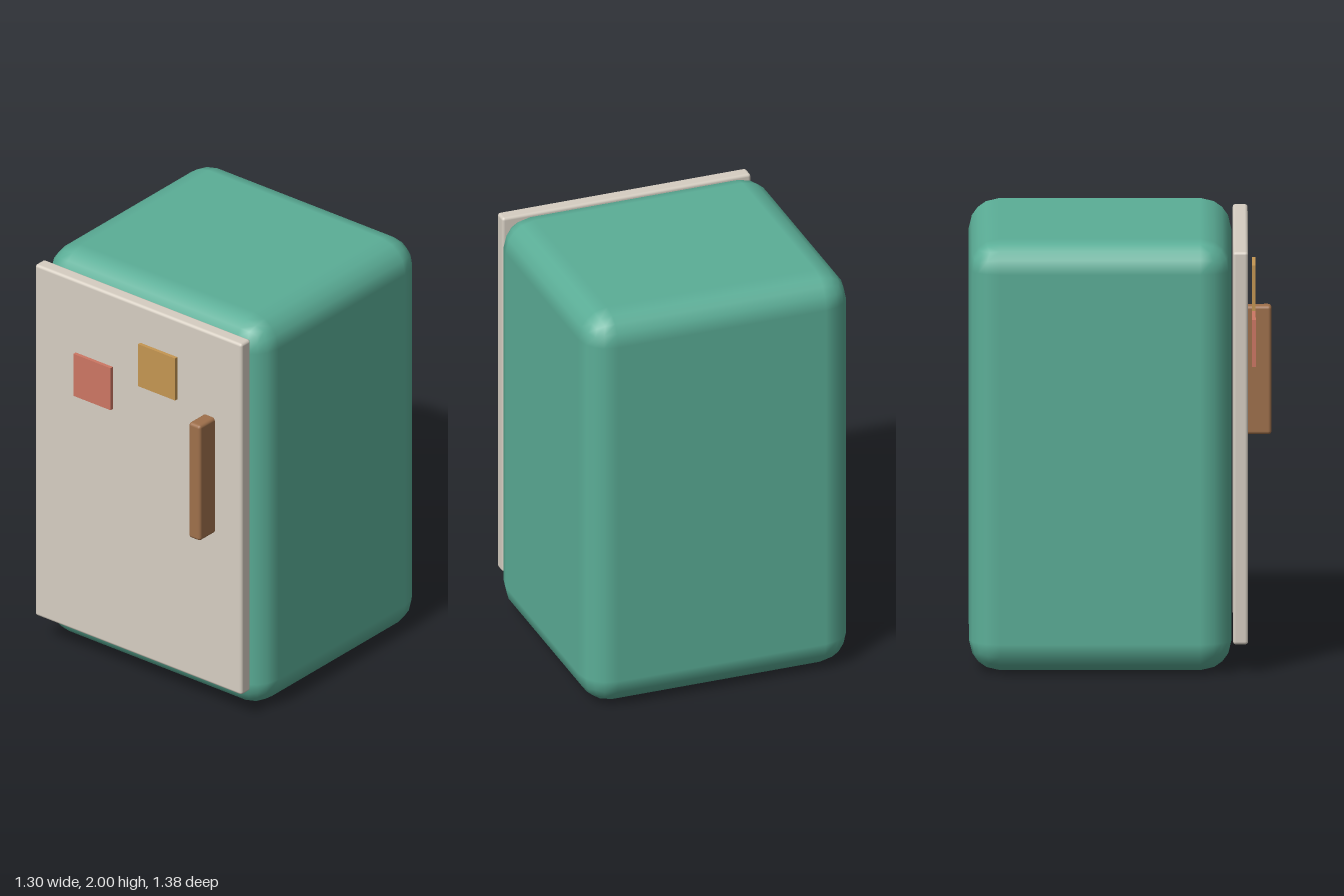
import * as THREE from 'three';
import { RoundedBoxGeometry } from 'three/addons/geometries/RoundedBoxGeometry.js';

// Box given by its [min, max] extents; radius 0 keeps the edges sharp.
function block(name, color, [x0, x1], [y0, y1], [z0, z1], radius = 0, segments = 2) {
  const size = [x1 - x0, y1 - y0, z1 - z0];
  const geometry = radius
    ? new RoundedBoxGeometry(...size, segments, radius)
    : new THREE.BoxGeometry(...size);
  const mesh = new THREE.Mesh(geometry, new THREE.MeshStandardMaterial({ color }));
  mesh.name = name;
  mesh.position.set((x0 + x1) / 2, (y0 + y1) / 2, (z0 + z1) / 2);
  return mesh;
}

export function createModel() {
  const fridge = new THREE.Group();
  fridge.name = 'fridge';

  fridge.add(
    // Cabinet with generously rounded edges
    block('cabinet', 0x5bae97, [-0.65, 0.65], [0, 2], [-0.69, 0.507], 0.143),
    // Door panel, just clear of the cabinet front
    block('door', 0xd6cec2, [-0.608, 0.608], [0.135, 1.955], [0.513, 0.582], 0.014),
    // Handle, rooted in the door
    block('handle', 0x9f704b, [0.383, 0.452], [0.925, 1.522], [0.55, 0.69], 0.015)
  );

  // Square notes hovering in front of the door
  const notes = [
    ['redNote', 0xcd7764, -0.242, 1.485],
    ['yellowNote', 0xc59652, 0.138, 1.666],
  ];
  for (const [name, color, x, y] of notes) {
    fridge.add(block(name, color, [x - 0.109, x + 0.109], [y - 0.109, y + 0.109], [0.6, 0.617]));
  }

  return fridge;
}
